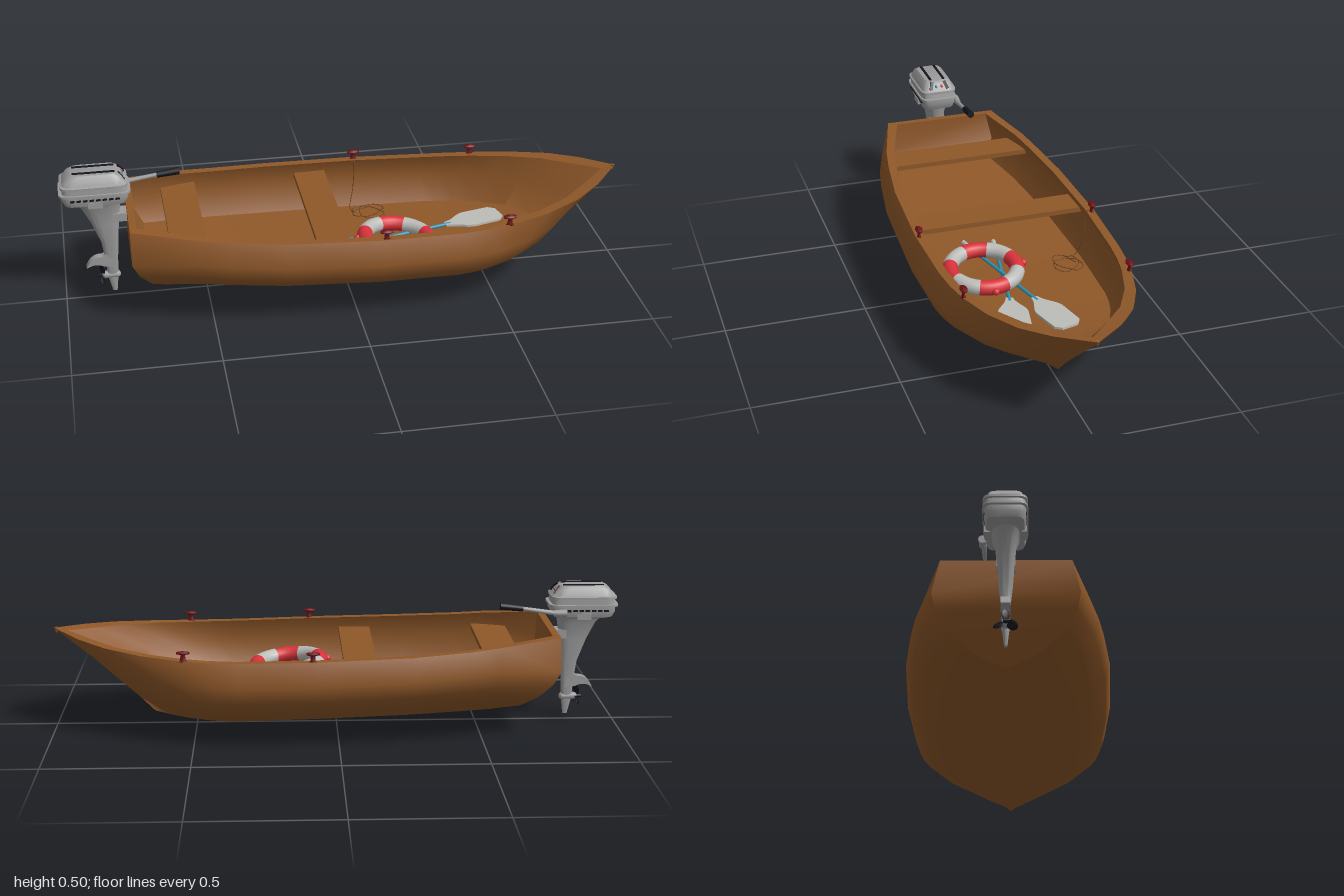
import * as THREE from 'three';
import { toCreasedNormals } from 'three/addons/utils/BufferGeometryUtils.js';

const mat = (name, color, side = THREE.FrontSide) => {
  const m = new THREE.MeshStandardMaterial({ color, side });
  m.name = name;
  return m;
};
const V = (x, y, z) => new THREE.Vector3(x, y, z);

// Surface through rows of points; every row has the same count
function grid(rows, { closed = false, caps = false, crease = 0.6 } = {}) {
  const n = rows[0].length, pos = rows.flat().flatMap(p => p.toArray()), idx = [];
  for (let j = 0; j < rows.length - 1; j++) {
    for (let i = 0; i < (closed ? n : n - 1); i++) {
      const a = j * n + i, b = j * n + (i + 1) % n;
      idx.push(a, a + n, b, b, a + n, b + n);
    }
  }
  if (caps) {
    const last = (rows.length - 1) * n;
    for (let i = 1; i < n - 1; i++) idx.push(0, i, i + 1, last, last + i + 1, last + i);
  }
  const g = new THREE.BufferGeometry();
  g.setAttribute('position', new THREE.Float32BufferAttribute(pos, 3));
  g.setIndex(idx);
  return toCreasedNormals(g, crease);
}

// Boxy rounded solid from levels of [y, xMin, xMax, halfDepth]
function boxyLoft(levels, power, n = 32) {
  const rows = levels.map(([y, x0, x1, hz]) => Array.from({ length: n }, (_, i) => {
    const a = i / n * Math.PI * 2, c = Math.cos(a), s = Math.sin(a);
    return V((x0 + x1) / 2 + (x1 - x0) / 2 * Math.sign(c) * Math.abs(c) ** power, y,
      hz * Math.sign(s) * Math.abs(s) ** power);
  }));
  return grid(rows, { closed: true, caps: true });
}

export function createModel() {
  const wood = mat('wood', 0x8f5829, THREE.DoubleSide);
  const darkRed = mat('dark red', 0x6e1216);
  const red = mat('red', 0xd8323a);
  const white = mat('off white', 0xbcbcb9);
  const grey = mat('motor grey', 0x9c9c9c);
  const dark = mat('near black', 0x14141f);
  const blue = mat('blue', 0x2a93b8);
  const ropeColor = mat('rope', 0x6e4420);
  const model = new THREE.Group();

  const add = (name, geo, material, parent = model) => {
    const m = new THREE.Mesh(geo, material);
    m.name = name;
    parent.add(m);
    return m;
  };
  const group = (name) => {
    const g = new THREE.Group();
    g.name = name;
    model.add(g);
    return g;
  };
  const box = (name, w, h, d, x, y, z, material, parent) => {
    const m = add(name, new THREE.BoxGeometry(w, h, d), material, parent);
    m.position.set(x, y, z);
    return m;
  };
  const rod = (name, a, b, r0, r1, material, parent) => {
    const m = add(name, new THREE.CylinderGeometry(r1, r0, a.distanceTo(b), 12), material, parent);
    m.position.copy(a).add(b).multiplyScalar(0.5);
    m.quaternion.setFromUnitVectors(V(0, 1, 0), b.clone().sub(a).normalize());
    return m;
  };

  // Hull: stations [x, keel height, sheer height, width factor, floor height], then a tapered bow
  const stations = [[-0.55, 0.037, 0.337, 0.825, 0.16], [-0.45, 0.03, 0.328, 0.88, 0.15],
    [-0.25, 0.018, 0.317, 0.96, 0.135], [0.08, 0.006, 0.308, 1, 0.125], [0.35, 0, 0.303, 0.97, 0.125]];
  const bow = [[0.15, 0.94], [0.29, 0.89], [0.5, 0.77], [0.7, 0.58], [0.85, 0.34], [1, 0]];
  // Lengthwise lines: half width, height fraction, stern point, stem point
  const line = (w, h, stern, stem, inset = 0, floor = false) => {
    const width = f => Math.max(0, w * f - inset);
    const row = [V(...stern)];
    for (const [x, k, s, f, fy] of stations) row.push(V(x, floor ? fy : k + (s - k) * h, width(f)));
    const end = row[row.length - 1], [ex, ey] = stem;
    for (const [s, f] of bow) {
      row.push(V(end.x + (ex - end.x) * s, end.y + (ey - end.y) * s ** 2, width(f)));
    }
    return row;
  };
  const outer = [
    line(0, 0, [-0.62, 0.045, 0], [0.65, 0.045]),
    line(0.15, 0.16, [-0.65, 0.08, 0.1], [0.70, 0.095]),
    line(0.29, 0.39, [-0.70, 0.135, 0.185], [0.75, 0.14]),
    line(0.345, 0.54, [-0.745, 0.19, 0.225], [0.80, 0.185]),
    line(0.365, 0.735, [-0.77, 0.24, 0.236], [0.86, 0.24]),
    line(0.33, 1, [-0.77, 0.355, 0.21], [1.0, 0.355])];
  const inner = [
    line(0.33, 1, [-0.745, 0.355, 0.18], [0.95, 0.345], 0.03),
    line(0.365, 0.735, [-0.745, 0.25, 0.205], [0.85, 0.25], 0.03),
    line(0.315, 0, [-0.705, 0.18, 0.185], [0.765, 0.165], 0.03, true),
    line(0, 0, [-0.705, 0.18, 0], [0.765, 0.165], 0, true)];
  const rim = [outer[5], inner[0]];
  const mirror = p => V(p.x, p.y, -p.z);
  const hull = group('hull');
  for (const [name, rows, crease] of [['outerPlanking', outer, 1], ['gunwale', rim, 0.6], ['innerPlanking', inner, 0.9]]) {
    add(name, grid(rows, { crease }), wood, hull);
    add(name, grid(rows.map(r => r.map(mirror)).reverse(), { crease }), wood, hull);
    const ends = rows.map(r => r[0]);
    add('transom', grid([ends, ends.map(mirror)], { crease: 0.9 }), wood, hull);
  }
  rod('bowKnob', V(0.99, 0.338, 0), V(0.993, 0.357, 0), 0.003, 0.007, wood, hull);

  // Bench seats: [aft x, aft half width, fore x, fore half width, top]
  for (const [x0, w0, x1, w1, top] of [[-0.635, 0.24, -0.51, 0.272, 0.29], [-0.135, 0.32, -0.02, 0.325, 0.27]]) {
    const s = new THREE.Shape([[x0, -w0], [x1, -w1], [x1, w1], [x0, w0]].map(p => new THREE.Vector2(...p)));
    const seat = add('seat', new THREE.ExtrudeGeometry(s, { depth: 0.018, bevelEnabled: false }), wood);
    seat.rotation.x = Math.PI / 2;
    seat.position.y = top;
  }

  // Mooring cleats, longer along the boat
  const cleatProfile = [[0, 0], [0.009, 0], [0.005, 0.006], [0.004, 0.024], [0.012, 0.028], [0.012, 0.034], [0, 0.038]]
    .map(p => new THREE.Vector2(...p));
  for (const [x, z] of [[0.09, 0.318], [0.53, 0.288]]) {
    for (const side of [1, -1]) {
      const cleat = add('cleat', new THREE.LatheGeometry(cleatProfile, 16), darkRed);
      cleat.position.set(x, 0.304, z * side);
      cleat.scale.x = 1.9;
    }
  }

  // Rope running from a cleat to a loose coil on the floor
  const ropePts = [V(0.09, 0.315, -0.318), V(0.09, 0.307, -0.295), V(0.085, 0.2, -0.29), V(0.07, 0.131, -0.265)];
  for (let i = 0; i < 20; i++) {
    const a = Math.PI + i * 0.75, r = 0.058 + 0.022 * Math.sin(i * 1.3);
    ropePts.push(V(0.135 + r * Math.cos(a), 0.131 + i * 0.0004, -0.215 + r * 0.65 * Math.sin(a)));
  }
  add('rope', new THREE.TubeGeometry(new THREE.CatmullRomCurve3(ropePts), 200, 0.0015, 5), ropeColor);

  // Life ring with alternating bands and four grab loops, leaning up toward the seat
  const ring = group('lifeRing');
  ring.position.set(0.172, 0.19, 0.11);
  ring.rotation.z = -0.1;
  for (let k = 0; k < 8; k++) {
    const band = add('ringBand', new THREE.TorusGeometry(0.117, 0.027, 14, 8, Math.PI / 4), k % 2 ? white : red, ring);
    band.rotation.set(Math.PI / 2, 0, (k - 0.5) * Math.PI / 4);
    if (k % 2 === 0) {
      const a = k * Math.PI / 4;
      const loop = add('grabLoop', new THREE.SphereGeometry(0.013, 10, 8), red, ring);
      loop.position.set(Math.cos(a) * 0.145, 0, Math.sin(a) * 0.145);
    }
  }

  // Crossed oars: [handle x, z, tip x, z, height]
  const blade = new THREE.Shape();
  blade.moveTo(0, -0.012);
  blade.bezierCurveTo(0.05, -0.02, 0.06, -0.05, 0.1, -0.052);
  blade.lineTo(0.2, -0.05);
  blade.lineTo(0.222, -0.03);
  blade.lineTo(0.222, 0.03);
  blade.lineTo(0.2, 0.05);
  blade.lineTo(0.1, 0.052);
  blade.bezierCurveTo(0.06, 0.05, 0.05, 0.02, 0, 0.012);
  for (const [hx, hz, tx, tz, y] of [[-0.06, 0.105, 0.59, -0.062, 0.164], [-0.06, 0.0, 0.55, 0.106, 0.15]]) {
    const oar = group('oar');
    const len = Math.hypot(tx - hx, tz - hz);
    oar.position.set(hx, y, hz);
    oar.rotation.y = -Math.atan2(tz - hz, tx - hx);
    rod('oarGrip', V(-0.02, 0, 0), V(0.035, 0, 0), 0.009, 0.009, white, oar);
    rod('oarShaft', V(0.03, 0, 0), V(len - 0.2, 0, 0), 0.006, 0.006, blue, oar);
    const b = add('oarBlade', new THREE.ExtrudeGeometry(blade, { depth: 0.008, bevelEnabled: false }), white, oar);
    b.rotation.x = Math.PI / 2;
    b.position.set(len - 0.222, 0.004, 0);
  }

  // Outboard motor: cowl with two raised bands
  const motor = group('outboardMotor');
  add('motorCowl', boxyLoft([[0.383, -0.955, -0.785, 0.045], [0.39, -0.978, -0.77, 0.06], [0.41, -0.988, -0.76, 0.066],
    [0.428, -0.988, -0.76, 0.066], [0.429, -0.998, -0.752, 0.072], [0.436, -0.998, -0.752, 0.072],
    [0.437, -0.986, -0.762, 0.067], [0.455, -0.984, -0.766, 0.066], [0.456, -0.992, -0.76, 0.071],
    [0.464, -0.992, -0.76, 0.071], [0.467, -0.984, -0.766, 0.065], [0.49, -0.968, -0.782, 0.055],
    [0.5, -0.95, -0.798, 0.046]], 0.3), grey, motor);
  for (const side of [1, -1]) {
    box('topStripe', 0.145, 0.004, 0.009, -0.874, 0.501, 0.026 * side, dark, motor);
    box('frontStripe', 0.006, 0.034, 0.012, -0.78, 0.484, 0.029 * side, dark, motor).rotation.set(-0.35 * side, 0, 0.6);
    const lamp = add('lamp', new THREE.SphereGeometry(0.005, 10, 8), side > 0 ? blue : red, motor);
    lamp.position.set(-0.777, 0.48, 0.011 * side);
    lamp.scale.y = 1.7;
    box('sideKnob', 0.05, 0.022, 0.02, -0.875, 0.394, 0.057 * side, grey, motor);
    for (let i = 0; i < 8; i++) {
      box('ventSlot', 0.016, 0.007, 0.008, -0.952 + i * 0.022, 0.415, 0.0635 * side, dark, motor);
    }
  }

  // Leg, fin, gear case and propeller
  add('motorLeg', boxyLoft([[0.02, -0.836, -0.82, 0.005], [0.08, -0.85, -0.813, 0.012], [0.15, -0.855, -0.81, 0.014],
    [0.22, -0.865, -0.804, 0.022], [0.3, -0.895, -0.798, 0.028], [0.36, -0.925, -0.79, 0.034],
    [0.39, -0.95, -0.785, 0.047]], 0.7), grey, motor);
  const fin = new THREE.Shape();
  fin.moveTo(-0.922, 0.122);
  fin.quadraticCurveTo(-0.905, 0.165, -0.868, 0.163);
  fin.quadraticCurveTo(-0.845, 0.17, -0.838, 0.21);
  fin.lineTo(-0.82, 0.12);
  fin.lineTo(-0.86, 0.125);
  fin.quadraticCurveTo(-0.89, 0.142, -0.922, 0.122);
  add('motorFin', new THREE.ExtrudeGeometry(fin, { depth: 0.03, bevelEnabled: false }), grey, motor).position.z = -0.015;
  const gear = add('gearCase', new THREE.CapsuleGeometry(0.014, 0.04, 6, 12), grey, motor);
  gear.position.set(-0.838, 0.085, 0);
  gear.rotation.z = Math.PI / 2;
  rod('propellerHub', V(-0.885, 0.085, 0), V(-0.855, 0.085, 0), 0.005, 0.011, dark, motor);
  for (let k = 0; k < 3; k++) {
    const arm = new THREE.Group();
    arm.name = 'propellerBlade';
    arm.position.set(-0.868, 0.085, 0);
    arm.rotation.x = k * Math.PI * 2 / 3;
    motor.add(arm);
    const p = add('blade', new THREE.SphereGeometry(1, 12, 8), dark, arm);
    p.scale.set(0.004, 0.02, 0.016);
    p.position.y = 0.023;
    p.rotation.y = 0.6;
  }

  // Transom clamp and steering tiller
  box('clamp', 0.06, 0.03, 0.06, -0.79, 0.322, 0, grey, motor);
  rod('tillerMount', V(-0.81, 0.41, -0.074), V(-0.765, 0.41, -0.074), 0.014, 0.011, grey, motor);
  rod('tillerArm', V(-0.785, 0.407, -0.07), V(-0.64, 0.429, -0.07), 0.009, 0.007, grey, motor);
  rod('tillerGrip', V(-0.655, 0.427, -0.07), V(-0.575, 0.436, -0.07), 0.011, 0.013, dark, motor);

  return model;
}
